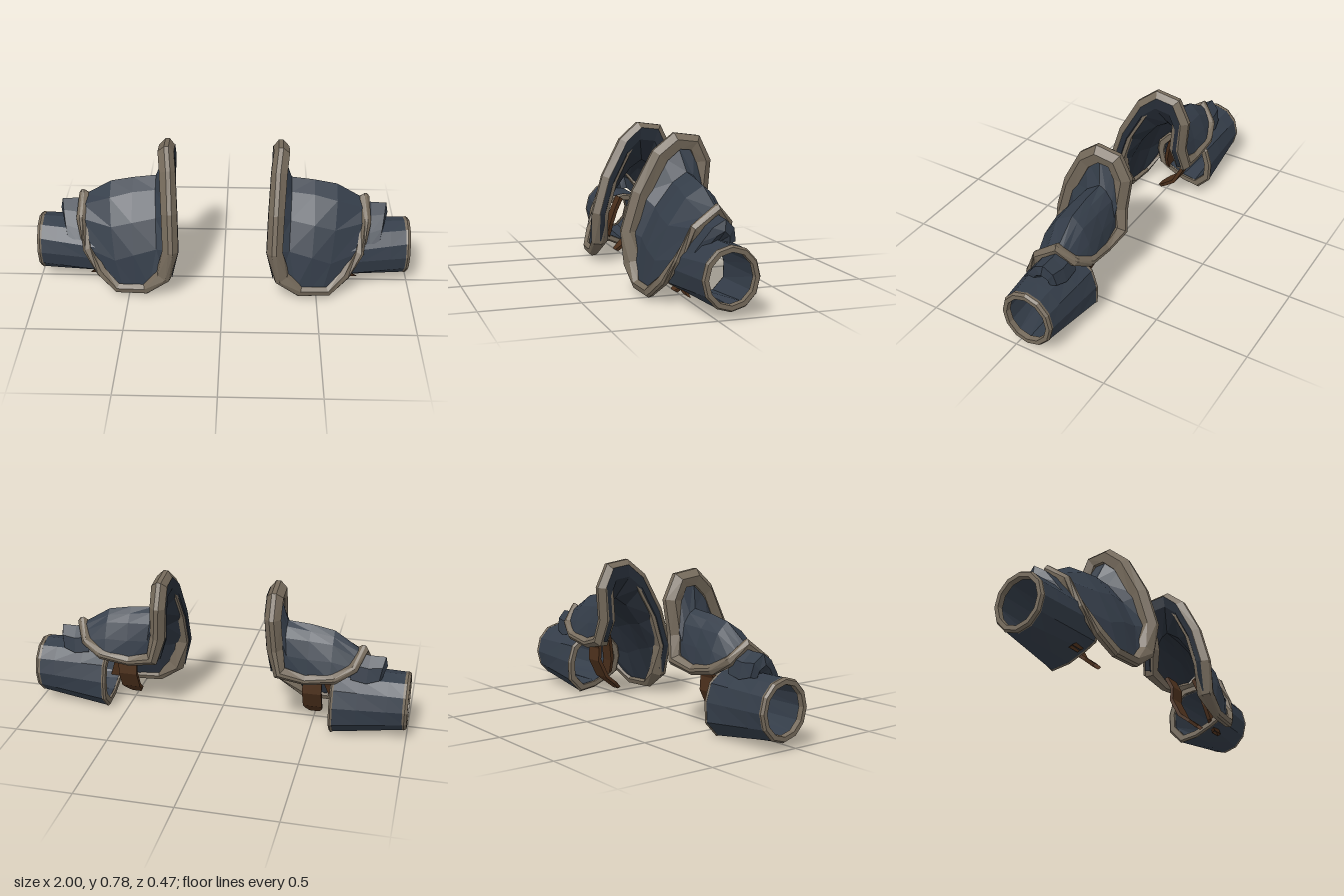
import * as THREE from 'three';

const paint = (color) => new THREE.MeshStandardMaterial({ color, flatShading: true, side: THREE.DoubleSide });
const steel = paint(0x343d49), darkSteel = paint(0x272e38), trim = paint(0x756a5b), leather = paint(0x4c301c);

// Skin a list of cross-sections; either direction may be closed.
function loft(rows, closeRow = false, closeLoop = false) {
  const n = rows[0].length, m = rows.length, pos = rows.flat(2);
  const idx = [];
  for (let i = 0; i < (closeLoop ? m : m - 1); i++) {
    for (let j = 0; j < (closeRow ? n : n - 1); j++) {
      const a = i * n + j, b = i * n + (j + 1) % n;
      const c = ((i + 1) % m) * n + j, d = ((i + 1) % m) * n + (j + 1) % n;
      idx.push(a, b, c, b, d, c);
    }
  }
  // Turn closed bodies so that their faces point outwards
  const v = (k) => new THREE.Vector3().fromArray(pos, k * 3);
  let volume = 0;
  for (let k = 0; k < idx.length; k += 3) volume += v(idx[k]).dot(v(idx[k + 1]).cross(v(idx[k + 2])));
  if (volume < 0) idx.reverse();
  const g = new THREE.BufferGeometry();
  g.setAttribute('position', new THREE.Float32BufferAttribute(pos, 3));
  g.setIndex(idx);
  const flat = g.toNonIndexed();
  flat.computeVertexNormals();
  return flat;
}

// Move a row along x and scale it in y and z about a centre
const shrink = (row, k, dx, cy, cz) => row.map(([x, y, z]) => [x + dx, cy + (y - cy) * k, cz + (z - cz) * k]);

// Faceted trim swept round a closed loop, broader on the collar side
function rimGeometry(loop) {
  const pts = loop.map((p) => new THREE.Vector3(...p));
  const n = pts.length;
  const profile = [[1, -0.2], [1, 0.35], [0.2, 1], [-1, 0.75], [-1, -0.75], [0.2, -1]];
  return loft(pts.map((p, i) => {
    const t = pts[(i + 1) % n].clone().sub(pts[(i + n - 1) % n]).normalize();
    const out = new THREE.Vector3(0, p.y - 0.3, p.z);
    out.addScaledVector(t, -out.dot(t)).normalize();
    const side = t.clone().cross(out);
    const k = THREE.MathUtils.smoothstep(p.x, 0.3, 0.42);
    const h = THREE.MathUtils.lerp(0.043, 0.024, k), w = THREE.MathUtils.lerp(0.042, 0.027, k);
    return profile.map(([a, b]) => p.clone().addScaledVector(out, a * h).addScaledVector(side, b * w).toArray());
  }), true, true);
}

// Flat strap along a path, given a half width at each point
function strapGeometry(path, halfWidths, thick = 0.009) {
  return loft(path.map(([x, y, z], i) => {
    const w = halfWidths[i];
    return [[x - w, y, z - thick], [x + w, y, z - thick], [x + w, y + thick, z + thick], [x - w, y + thick, z + thick]];
  }), true);
}

function buildSide() {
  const side = new THREE.Group();
  const add = (name, geometry, material) => {
    const mesh = new THREE.Mesh(geometry, material);
    mesh.name = name;
    side.add(mesh);
  };

  // Shoulder shell: rows run back to front, from the collar out to the arm
  const collar = [[0.34, 0.34, -0.19], [0.31, 0.46, -0.17], [0.30, 0.635, -0.19], [0.302, 0.73, -0.145],
    [0.302, 0.742, -0.05], [0.29, 0.67, 0.035], [0.278, 0.48, 0.135], [0.272, 0.29, 0.19], [0.31, 0.13, 0.185]];
  const crease = [[0.38, 0.33, -0.18], [0.37, 0.43, -0.175], [0.36, 0.52, -0.155], [0.36, 0.57, -0.12],
    [0.36, 0.59, -0.085], [0.36, 0.54, -0.01], [0.355, 0.42, 0.08], [0.35, 0.27, 0.15], [0.39, 0.06, 0.19]];
  const inner = [[0.48, 0.31, -0.19], [0.48, 0.42, -0.175], [0.48, 0.51, -0.145], [0.48, 0.55, -0.11],
    [0.48, 0.578, -0.08], [0.48, 0.53, 0], [0.48, 0.4, 0.1], [0.47, 0.24, 0.165], [0.46, 0.04, 0.185]];
  const outer = [[0.6, 0.33, -0.2], [0.6, 0.42, -0.175], [0.6, 0.5, -0.14], [0.6, 0.53, -0.11],
    [0.6, 0.555, -0.08], [0.6, 0.5, 0.01], [0.59, 0.37, 0.095], [0.57, 0.2, 0.155], [0.53, 0.04, 0.18]];
  const armEdge = [[0.66, 0.35, -0.185], [0.71, 0.39, -0.16], [0.73, 0.43, -0.13], [0.74, 0.455, -0.11],
    [0.745, 0.465, -0.09], [0.75, 0.435, -0.03], [0.755, 0.38, 0.025], [0.72, 0.23, 0.09], [0.6, 0.07, 0.16]];
  add('shoulderShell', loft([collar, crease, inner, outer, armEdge]), steel);

  // Dark lining that covers the neck side and the inside of the shell
  add('shellLining', loft([shrink(collar, 1.03, -0.044, 0.3, 0), shrink(collar, 0.88, -0.04, 0.3, 0),
    ...[crease, inner, outer, armEdge].map((row) => shrink(row, 0.94, -0.015, 0.2, 0))]), darkSteel);

  // Trim round the whole edge of the shell
  const edge = [...collar, [0.41, 0.045, 0.19], [0.56, 0.042, 0.18], [0.65, 0.12, 0.14], [0.725, 0.23, 0.092],
    [0.755, 0.38, 0.022], [0.75, 0.47, -0.09], [0.71, 0.39, -0.16], [0.62, 0.335, -0.19], [0.47, 0.31, -0.185]];
  add('shellTrim', rimGeometry(edge), trim);

  // Small overlapping plate between shell and sleeve, with a closed end
  const arc = [[0.31, -0.16], [0.39, -0.145], [0.44, -0.09], [0.395, -0.02], [0.32, 0.035], [0.26, 0.075]];
  const plateRow = (x, s, dy, slant) => arc.map(([y, z], i) =>
    [x - slant * Math.abs(i - 2), 0.33 + (y - 0.33) * s + dy, -0.07 + (z + 0.07) * s]);
  add('armPlate', loft([plateRow(0.7, 1, 0.015, 0), plateRow(0.79, 1, 0, 0.005), plateRow(0.868, 0.85, 0.015, 0.012),
    plateRow(0.878, 0.5, 0, 0.012), plateRow(0.82, 0.1, -0.01, 0)]), steel);

  // Hollow arm sleeve: a skewed inner mouth blends into an oval outer one
  const mouth = [[0.33, -0.05], [0.31, 0.05], [0.24, 0.11], [0.18, 0.12], [0.095, 0.1], [0.062, 0.045],
    [0.02, -0.05], [0.005, -0.15], [0.08, -0.22], [0.18, -0.223], [0.27, -0.195], [0.32, -0.13]]
    .map(([y, z]) => [0.61, y, z]);
  const end = mouth.map((p, i) => {
    const a = (i / mouth.length) * Math.PI * 2;
    return [0.985, 0.19 + Math.cos(a) * 0.153, -0.067 + Math.sin(a) * 0.14];
  });
  const blend = (t) => mouth.map((p, i) => p.map((v, k) => THREE.MathUtils.lerp(v, end[i][k], t)));
  const endAt = (k, dx = 0) => shrink(end, k, dx, 0.19, -0.067);
  const mouthAt = (k, dx = 0) => shrink(mouth, k, dx, 0.172, -0.06);
  add('armSleeve', loft([mouth, blend(0.35), blend(0.75), end, endAt(0.84), mouthAt(0.77)], true, true), steel);

  // Trimmed cuff at either end of the sleeve
  const cuff = (at, dx, hole) => loft([at(1, -dx), at(1.02, 0), at(0.96, dx), at(hole, dx), at(hole - 0.02, -dx)], true, true);
  add('outerCuff', cuff(endAt, 0.014, 0.81), trim);
  add('innerCuff', cuff(mouthAt, -0.01, 0.79), trim);

  // Leather straps under the shell
  add('backStrap', strapGeometry([[0.5, 0.34, -0.15], [0.5, 0.27, -0.113], [0.5, 0.2, -0.118], [0.5, 0.1, -0.068],
    [0.5, 0.055, -0.01], [0.5, 0.02, 0.03]], [0.05, 0.05, 0.05, 0.05, 0.045, 0.025]), leather);
  add('frontStrap', strapGeometry([[0.55, 0.32, -0.01], [0.57, 0.25, 0.015], [0.59, 0.17, 0.035], [0.62, 0.09, 0.045],
    [0.69, 0.042, 0.035]], [0.04, 0.04, 0.04, 0.035, 0.035]), leather);
  return side;
}

export function createModel() {
  const model = new THREE.Group();
  model.name = 'shoulderArmour';
  const left = buildSide();
  left.name = 'leftShoulder';
  const right = buildSide();
  right.name = 'rightShoulder';
  right.scale.x = -1;
  model.add(left, right);
  return model;
}
